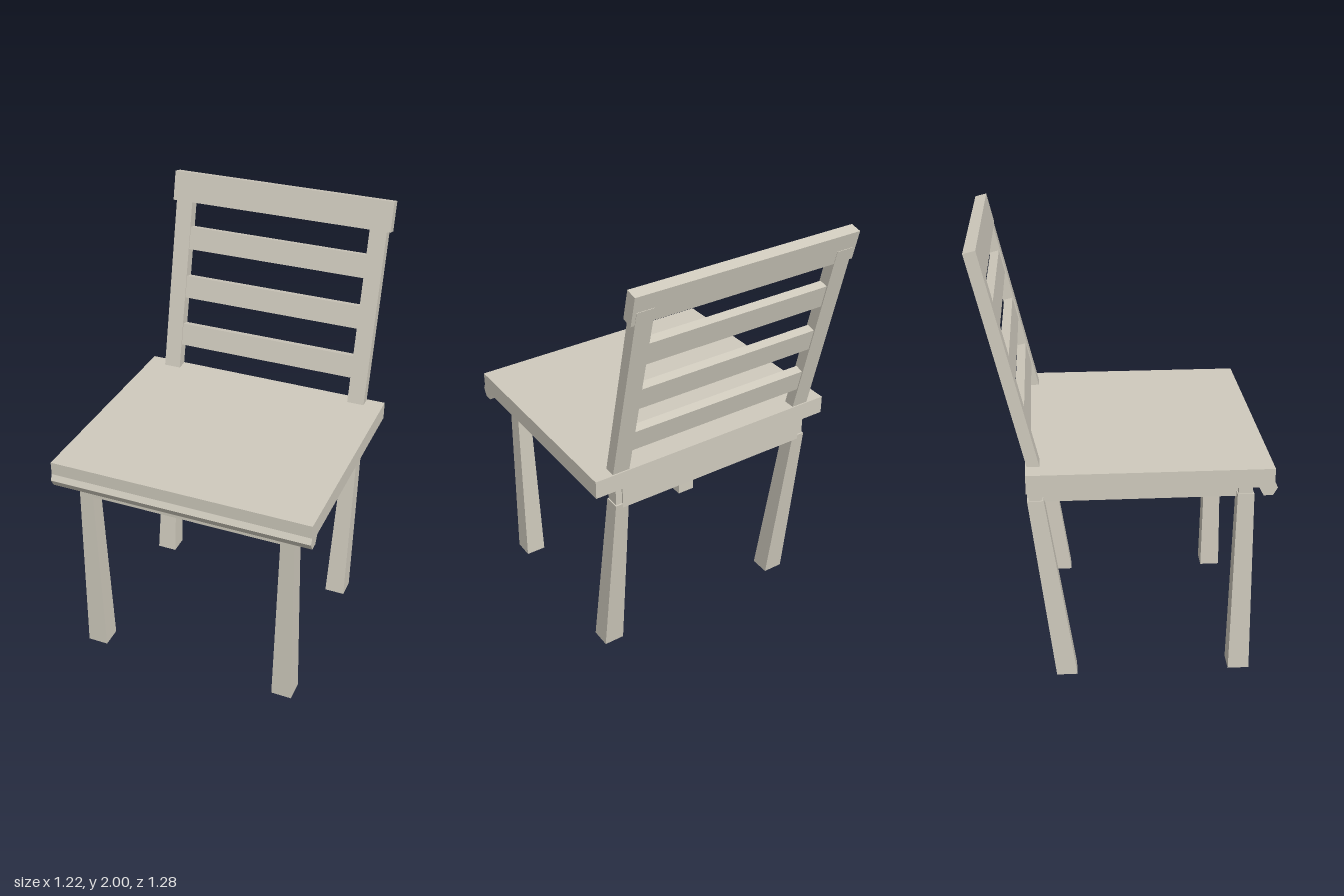
import * as THREE from 'three';

export function createModel() {
  const chair = new THREE.Group();
  chair.name = 'chair';
  const wood = new THREE.MeshStandardMaterial({ color: 0xcfcabd, side: THREE.DoubleSide });
  wood.name = 'pale wood';

  function add(parent, name, geometry) {
    const mesh = new THREE.Mesh(geometry, wood);
    mesh.name = name;
    parent.add(mesh);
    return mesh;
  }

  // Box given by its minimum and maximum on each axis
  function box(parent, name, x0, x1, y0, y1, z0, z1) {
    const g = new THREE.BoxGeometry(x1 - x0, y1 - y0, z1 - z0);
    g.translate((x0 + x1) / 2, (y0 + y1) / 2, (z0 + z1) / 2);
    return add(parent, name, g);
  }

  // Hollow board: a box without its underside
  function board(...args) {
    const g = box(...args).geometry;
    const index = Array.from(g.index.array);
    index.splice(18, 6);
    g.setIndex(index);
    g.clearGroups();
  }

  // Tapered post between two rectangles, each { y, x: [min, max], z: [min, max] }
  function taperedPost(name, low, high) {
    const g = new THREE.BoxGeometry(1, 1, 1);
    const p = g.attributes.position;
    for (let i = 0; i < p.count; i++) {
      const end = p.getY(i) < 0 ? low : high;
      p.setXYZ(i, end.x[p.getX(i) < 0 ? 0 : 1], end.y, end.z[p.getZ(i) < 0 ? 0 : 1]);
    }
    g.computeVertexNormals();
    return add(chair, name, g);
  }

  // Seat: side profile (z, y) with a drooping front lip, extruded across x
  const profile = [
    [-0.43, 1.058], [-0.43, 0.973], [0.56, 0.973], [0.58, 0.935],
    [0.62, 0.935], [0.64, 0.97], [0.627, 0.997], [0.627, 1.058],
  ];
  const seatShape = new THREE.Shape(profile.map(([z, y]) => new THREE.Vector2(-z, y)));
  const seat = new THREE.ExtrudeGeometry(seatShape, { depth: 1.222, bevelEnabled: false });
  seat.translate(0, 0, -0.611);
  seat.rotateY(Math.PI / 2);
  add(chair, 'seat', seat);

  // Apron boards below the seat
  board(chair, 'frontApron', -0.48, 0.48, 0.87, 0.973, 0.515, 0.559);
  board(chair, 'backApron', -0.48, 0.48, 0.87, 0.973, -0.428, -0.385);

  // Backrest, leaning back from the rear of the seat
  const back = new THREE.Group();
  back.name = 'backrest';
  back.position.set(0, 1.06, -0.371);
  back.rotation.x = -0.235;
  chair.add(back);
  board(back, 'topRail', -0.54, 0.54, 0.828, 0.966, -0.05, 0.003);
  for (let i = 0; i < 3; i++) {
    const y = 0.118 + i * 0.2416;
    board(back, 'backSlat', -0.445, 0.445, y, y + 0.108, -0.047, -0.005);
  }

  // Mirrored parts: legs, side rails and back posts
  for (const side of [-1, 1]) {
    const span = (a, b) => (side > 0 ? [a, b] : [-b, -a]);
    const foot = span(0.43, 0.527);
    const top = span(0.45, 0.515);
    taperedPost('frontLeg',
      { y: 0, x: foot, z: [0.475, 0.572] },
      { y: 0.895, x: top, z: [0.487, 0.56] });
    taperedPost('backLeg',
      { y: 0, x: foot, z: [-0.317, -0.222] },
      { y: 0.89, x: top, z: [-0.428, -0.356] });
    const block = span(0.455, 0.51);
    box(chair, 'frontLegBlock', ...block, 0.89, 0.974, 0.492, 0.553);
    box(chair, 'backLegBlock', ...block, 0.885, 0.974, -0.42, -0.36);
    board(chair, 'sideApron', ...span(0.437, 0.48), 0.87, 0.973, -0.385, 0.515);
    box(back, 'backPost', ...span(0.442, 0.523), -0.03, 0.89, -0.052, 0.001);
  }
  return chair;
}
